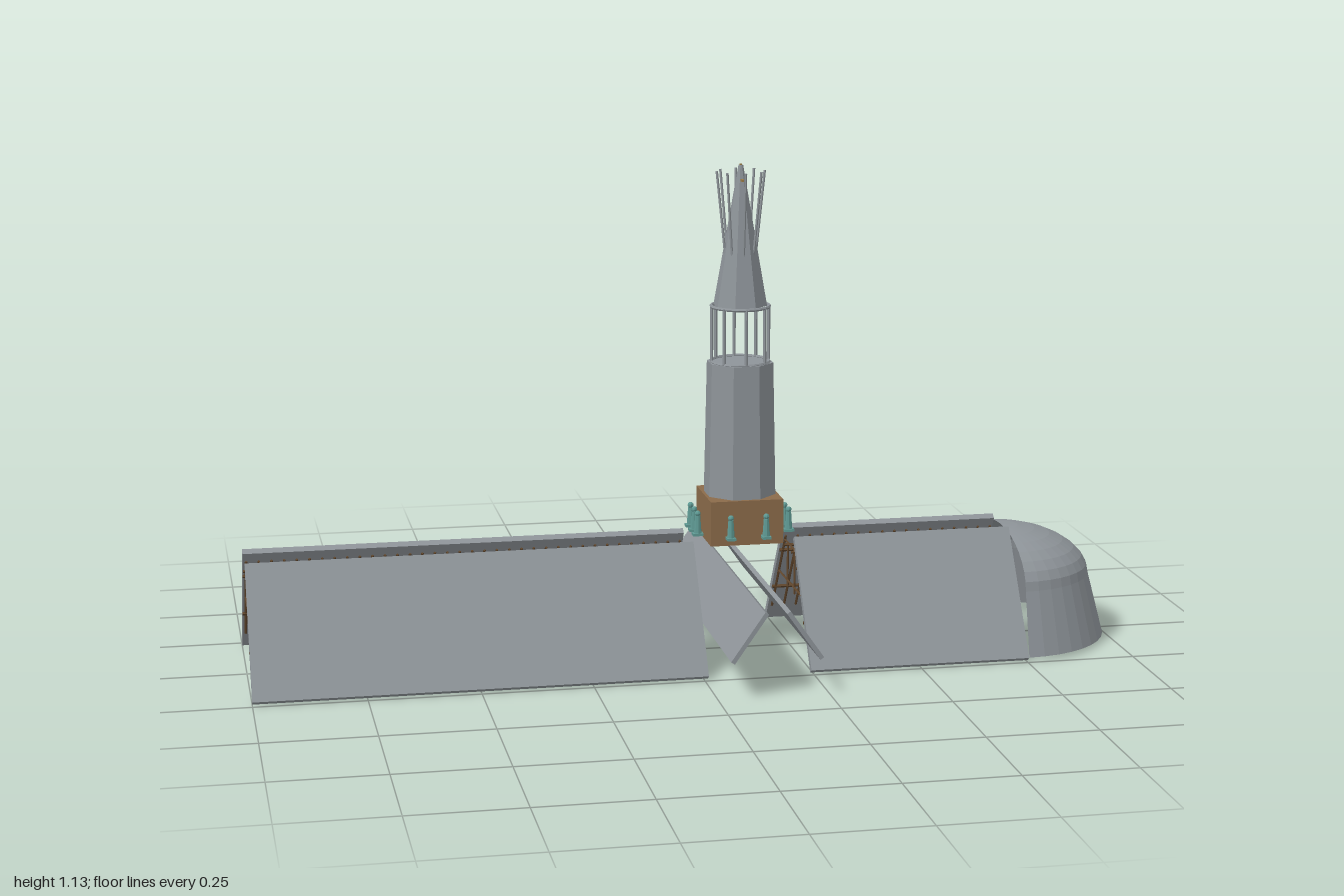
import * as THREE from 'three';
import { mergeGeometries } from 'three/addons/utils/BufferGeometryUtils.js';

const mat = (name, color, extra = {}) => {
  const m = new THREE.MeshStandardMaterial({ color, flatShading: true, ...extra });
  m.name = name;
  return m;
};

export function createModel() {
  const lead = mat('lead grey', 0x8e9499);
  const shell = mat('apse grey', 0x8e9499, { side: THREE.DoubleSide });
  const oak = mat('oak brown', 0x8b6b4a);
  const timber = mat('dark timber', 0x5f452b);
  const copper = mat('copper green', 0x5f9a94);
  const gold = mat('dull gold', 0x9a7b45);

  const model = new THREE.Group();
  model.name = 'spireRoof';
  const CX = 0.13; // crossing centre

  const add = (name, geo, material, x = 0, y = 0, z = 0, parent = model) => {
    const m = new THREE.Mesh(geo, material);
    m.name = name;
    m.position.set(x, y, z);
    parent.add(m);
    return m;
  };

  // Geometry of a straight bar between two points
  const bar = (a, b, r, sides = 4) => {
    const p = new THREE.Vector3(...a), q = new THREE.Vector3(...b);
    const d = q.clone().sub(p);
    const g = new THREE.CylinderGeometry(r, r, d.length(), sides);
    g.applyQuaternion(new THREE.Quaternion().setFromUnitVectors(
      new THREE.Vector3(0, 1, 0), d.normalize()));
    const c = p.add(q).multiplyScalar(0.5);
    return g.translate(c.x, c.y, c.z);
  };

  // Nave and choir: two sloping slabs over rows of timber frames
  const pitch = 0.975;
  const nave = (name, x0, x1) => {
    const g = new THREE.Group();
    g.name = name;
    model.add(g);
    const len = x1 - x0, mid = (x0 + x1) / 2;
    for (const s of [1, -1]) {
      const slab = add('roofSlope', new THREE.BoxGeometry(len, 0.32, 0.015), lead, mid, 0.1375, s * 0.147, g);
      slab.rotation.x = -s * (Math.PI / 2 - pitch);
    }
    // Point on the rafter line, t measured up the slope
    const onSlope = (x, s, t) => [x,
      0.1375 - 0.013 * Math.cos(pitch) + t * Math.sin(pitch),
      s * (0.147 - 0.013 * Math.sin(pitch) - t * Math.cos(pitch))];
    const parts = [];
    const n = Math.round(len / 0.028);
    for (let i = 0; i < n; i++) {
      const x = x0 + 0.008 + (len - 0.016) * i / (n - 1);
      parts.push(bar([x, 0.235, -0.07], [x, 0.235, 0.07], 0.003));
      for (const s of [1, -1]) {
        parts.push(bar(onSlope(x, s, -0.11), onSlope(x, s, 0.14), 0.003));
        parts.push(bar([x, 0.235, s * 0.035], [x, 0.13, s * 0.035], 0.0025));
      }
      if (i % 2 === 0) parts.push(bar([x, 0.145, -0.125], [x, 0.145, 0.125], 0.003));
    }
    // Purlins running the length of the roof
    for (const s of [1, -1]) {
      parts.push(bar([x0, 0.23, s * 0.035], [x1, 0.23, s * 0.035], 0.0035));
      for (const t of [-0.04, 0.09])
        parts.push(bar(onSlope(x0, s, t), onSlope(x1, s, t), 0.004));
    }
    add('timberFrames', mergeGeometries(parts), timber, 0, 0, 0, g);
  };
  nave('naveRoof', -1, 0.01);
  nave('choirRoof', 0.245, 0.755);

  // Transept: lower, narrower slopes running front to back
  for (const s of [1, -1]) {
    const slab = add('transeptSlope', new THREE.BoxGeometry(0.01, 0.132, 0.81), lead, CX + s * 0.062, 0.14, 0);
    slab.rotation.z = s * (Math.PI / 2 - 0.96);
  }

  // Apse: half cone wall with a flattened half dome
  const half = (pts) => new THREE.LatheGeometry(pts.map(p => new THREE.Vector2(...p)), 20, 0, Math.PI);
  add('apseWall', half([[0.243, 0.01], [0.205, 0.155]]), shell, 0.755);
  const cap = [];
  for (let i = 0; i <= 8; i++) {
    const a = (i / 8) * Math.PI / 2;
    cap.push([0.205 * Math.cos(a), 0.155 + 0.11 * Math.sin(a)]);
  }
  add('apseDome', half(cap), shell, 0.755);

  // Spire
  const spire = new THREE.Group();
  spire.name = 'spire';
  spire.position.x = CX;
  model.add(spire);
  const oct = (top, bottom, h) => {
    const k = 1 / Math.cos(Math.PI / 8);
    return new THREE.CylinderGeometry(top * k, bottom * k, h, 8).rotateY(Math.PI / 8);
  };
  add('spireBase', new THREE.BoxGeometry(0.168, 0.103, 0.17), oak, 0, 0.3175, 0, spire);
  add('spireShaft', oct(0.071, 0.077, 0.306), lead, 0, 0.522, 0, spire);
  add('spireCone', oct(0.005, 0.057, 0.318), lead, 0, 0.964, 0, spire);
  for (const y of [0.676, 0.803]) {
    const ring = add('lanternRing', new THREE.TorusGeometry(0.066, 0.004, 6, 24), lead, 0, y, 0, spire);
    ring.rotation.x = Math.PI / 2;
  }
  // Lantern posts and flared rods
  for (let i = 0; i < 8; i++) {
    const c = Math.cos(i * Math.PI / 4), s = Math.sin(i * Math.PI / 4);
    add('lanternPost', bar([0.066 * c, 0.675, 0.066 * s], [0.066 * c, 0.805, 0.066 * s], 0.004, 6), lead, 0, 0, 0, spire);
    add('flaredRod', bar([0.034 * c, 0.91, 0.034 * s], [0.055 * c, 1.11, 0.055 * s], 0.003, 6), lead, 0, 0, 0, spire);
  }
  // Finial cross
  add('crossArm', new THREE.BoxGeometry(0.005, 0.005, 0.05), gold, 0, 1.09, 0, spire);
  add('crossPost', new THREE.BoxGeometry(0.005, 0.05, 0.005), gold, 0, 1.101, 0, spire);

  // Statues around the base
  const statue = (x, z, bx, bz) => {
    const g = new THREE.Group();
    g.name = 'statue';
    g.position.set(x, 0, z);
    spire.add(g);
    add('statueBody', new THREE.CylinderGeometry(0.006, 0.009, 0.043, 8), copper, 0, 0.3075, 0, g);
    add('statueHead', new THREE.SphereGeometry(0.007, 8, 6), copper, 0, 0.334, 0, g);
    add('statueBracket', new THREE.BoxGeometry(bx, 0.006, bz), copper, 0, 0.286, 0, g);
  };
  for (const s of [1, -1]) {
    for (const z of [-0.042, 0, 0.042]) statue(s * 0.106, z, 0.024, 0.02);
    for (const x of [-0.041, 0.041]) statue(x, s * 0.1, 0.02, 0.024);
  }
  return model;
}
